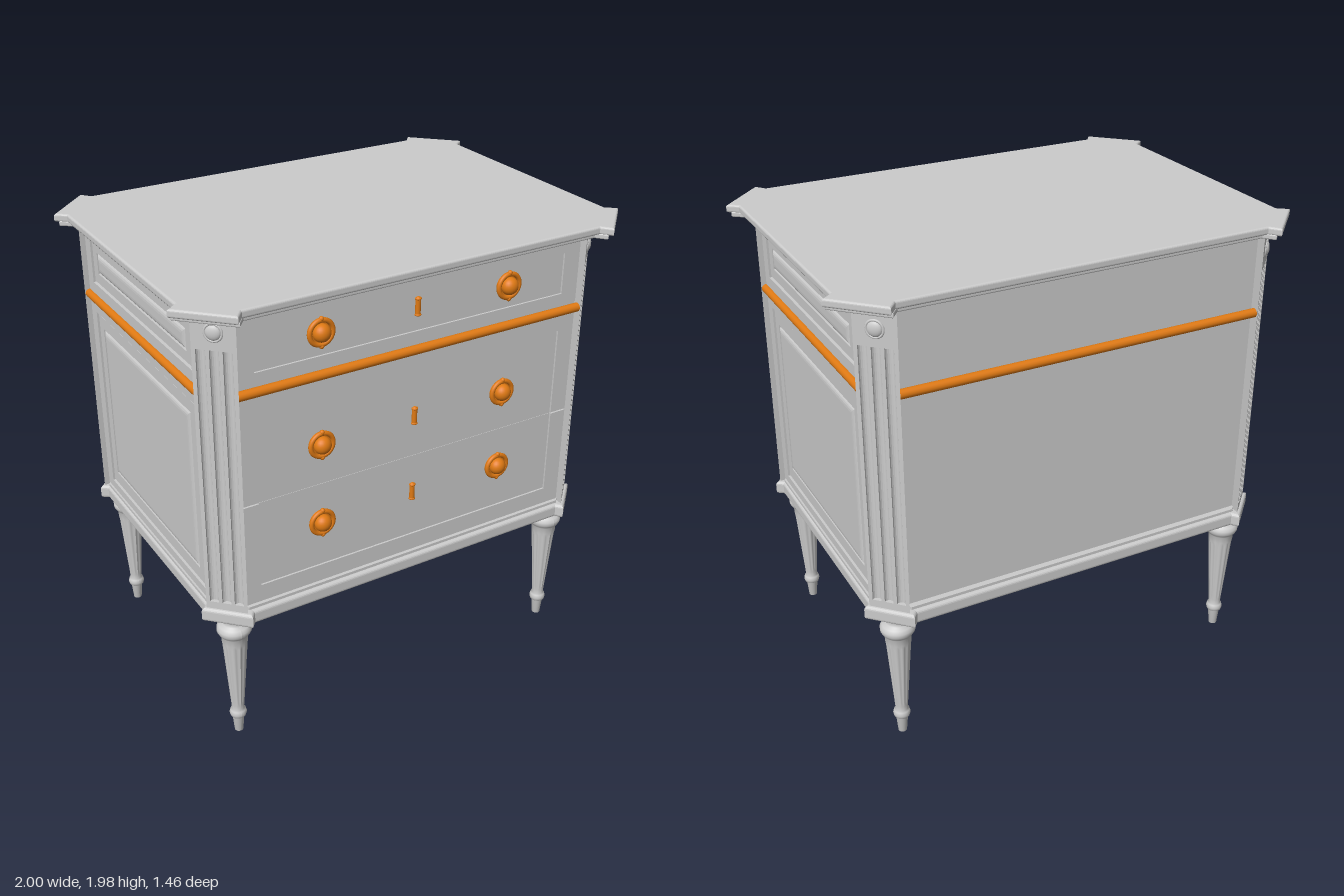
import * as THREE from 'three';

const grey = new THREE.MeshStandardMaterial({ color: 0xcccccc });
const brass = new THREE.MeshStandardMaterial({ color: 0xe07a14 });

function add(parent, name, geometry, material = grey, x = 0, y = 0, z = 0) {
  const mesh = new THREE.Mesh(geometry, material);
  mesh.name = name;
  mesh.position.set(x, y, z);
  parent.add(mesh);
  return mesh;
}

const group = (parent, name, x = 0, y = 0, z = 0, ry = 0) => {
  const g = new THREE.Group();
  g.name = name;
  g.position.set(x, y, z);
  g.rotation.y = ry;
  parent.add(g);
  return g;
};

// Rectangle with cut corners; "ear" lets the corners project past the straight edges
function outline(hx, hz, cut, ear = 0) {
  const quarter = [[hx - ear, hz - cut - ear * 0.8], [hx, hz - cut], [hx - cut, hz], [hx - cut - ear * 0.8, hz - ear]];
  const pts = [];
  [[1, 1], [-1, 1], [-1, -1], [1, -1]].forEach(([sx, sz], i) => {
    const q = ear ? quarter : quarter.slice(1, 3);
    (i % 2 ? [...q].reverse() : q).forEach(([x, z]) => pts.push(new THREE.Vector2(x * sx, z * sz)));
  });
  return new THREE.Shape(pts);
}

// Horizontal plate from y0 to y1 with a rounded rim
function plate(shape, y0, y1, bevel = 0) {
  const g = new THREE.ExtrudeGeometry(shape, {
    depth: y1 - y0 - 2 * bevel, bevelEnabled: bevel > 0, bevelThickness: bevel,
    bevelSize: bevel, bevelOffset: -bevel, bevelSegments: 4,
  });
  return g.rotateX(-Math.PI / 2).translate(0, y0 + bevel, 0);
}

function rect(w, y0, y1, Type = THREE.Shape) {
  return new Type([[-w, y0], [w, y0], [w, y1], [-w, y1]].map(p => new THREE.Vector2(...p)));
}

// Cross-section of a corner post, with three flutes along its diagonal face
function postShape(fluted) {
  const s = 0.06, pts = [[-s, -s], [s, -s]];
  if (fluted) {
    for (const c of [0.036, 0, -0.036]) {
      for (let i = 0; i <= 8; i++) {
        const a = (i / 8) * Math.PI, t = c + 0.013 * Math.cos(a), d = 0.012 * Math.sin(a);
        pts.push([t - d, -t - d]);
      }
    }
  }
  pts.push([-s, s]);
  return new THREE.Shape(pts.map(p => new THREE.Vector2(...p)));
}

function postPart(fluted, y0, y1) {
  const g = new THREE.ExtrudeGeometry(postShape(fluted), { depth: y1 - y0, bevelEnabled: false });
  return g.rotateX(Math.PI / 2).translate(0, y1, 0);
}

// Turned leg, shallow flutes on the taper
function legGeometry() {
  const profile = [
    [0, 0], [0.018, 0], [0.025, 0.075], [0.032, 0.08], [0.036, 0.095], [0.032, 0.11], [0.025, 0.115],
    [0.027, 0.14], [0.029, 0.16], [0.051, 0.45], [0.053, 0.47], [0.054, 0.5], [0.064, 0.512], [0.071, 0.525],
    [0.071, 0.54], [0.062, 0.553], [0.046, 0.56], [0.043, 0.575], [0.047, 0.59], [0.058, 0.597], [0.058, 0.62],
  ].map(p => new THREE.Vector2(...p));
  const g = new THREE.LatheGeometry(profile, 48);
  const p = g.attributes.position;
  for (let i = 0; i < p.count; i++) {
    const y = p.getY(i);
    if (y < 0.15 || y > 0.46) continue;
    const k = 1 - 0.045 * (1 - Math.cos(12 * Math.atan2(p.getZ(i), p.getX(i))));
    p.setXYZ(i, p.getX(i) * k, y, p.getZ(i) * k);
  }
  g.computeVertexNormals();
  return g;
}

function addKnob(parent, x, y, z) {
  const knob = group(parent, 'drawerKnob', x, y, z);
  add(knob, 'knobPlate', new THREE.CylinderGeometry(0.052, 0.055, 0.008, 32).rotateX(Math.PI / 2), brass, 0, 0, 0.003);
  add(knob, 'knobRing', new THREE.TorusGeometry(0.049, 0.01, 10, 36), brass, 0, 0, 0.01);
  add(knob, 'knobDome', new THREE.SphereGeometry(0.036, 24, 14).scale(1, 1, 0.9), brass, 0, 0, 0.015);
  for (const s of [-1, 1]) add(knob, 'knobBead', new THREE.SphereGeometry(0.01, 10, 8), brass, 0, s * 0.055, 0.012);
}

function addEscutcheon(parent, y, z) {
  const e = group(parent, 'keyholePlate', 0, y, z);
  add(e, 'keyholeBody', new THREE.CapsuleGeometry(0.011, 0.06, 6, 14), brass, 0, 0, 0.004);
  for (const s of [-1, 1]) add(e, 'keyholeCollar', new THREE.TorusGeometry(0.01, 0.004, 8, 16).rotateX(Math.PI / 2), brass, 0, s * 0.033, 0.004);
}

// Drawer front: recessed board framed by stiles and rails
function addDrawer(parent, y0, y1, panel0, panel1, knobY) {
  const d = group(parent, 'drawer');
  const box = (name, x, a, b, w, depth) =>
    add(d, name, new THREE.BoxGeometry(w, b - a, depth), grey, x, (a + b) / 2, 0.6 + depth / 2);
  box('drawerBoard', 0, y0, y1, 1.55, 0.012);
  for (const s of [-1, 1]) box('drawerStile', s * 0.738, y0, y1, 0.076, 0.02);
  if (panel0 > y0) box('bottomRail', 0, y0, panel0, 1.4, 0.02);
  if (panel1 < y1) box('topRail', 0, panel1, y1, 1.4, 0.02);
  for (const s of [-1, 1]) addKnob(d, s * 0.425, knobY, 0.612);
  addEscutcheon(d, knobY + 0.005, 0.612);
}

// Side panel: frame with opening, step and raised pillow field
function addSidePanel(parent, y0, y1, hole, field) {
  const frame = rect(0.53, y0, y1);
  frame.holes.push(rect(0.477, ...hole, THREE.Path));
  add(parent, 'sideFrame', new THREE.ExtrudeGeometry(frame, { depth: 0.018, bevelEnabled: false }), grey, 0, 0, 0.859);
  const step = rect(0.468, hole[0] + 0.009, hole[1] - 0.009);
  step.holes.push(rect(0.425, ...field, THREE.Path));
  add(parent, 'sideMoulding', new THREE.ExtrudeGeometry(step, { depth: 0.012, bevelEnabled: false }), grey, 0, 0, 0.859);
  add(parent, 'sideField', new THREE.ExtrudeGeometry(rect(0.42, field[0] + 0.005, field[1] - 0.005), {
    depth: 0.004, bevelThickness: 0.012, bevelSize: 0.025, bevelOffset: -0.025, bevelSegments: 4,
  }), grey, 0, 0, 0.859);
}

export function createModel() {
  const model = new THREE.Group();
  model.name = 'chestOfDrawers';

  // Top with eared corners, in two steps
  add(model, 'topSlab', plate(outline(1, 0.73, 0.18, 0.043), 1.945, 1.978, 0.009));
  add(model, 'topMoulding', plate(outline(0.985, 0.715, 0.178, 0.043), 1.928, 1.95, 0.006));

  const body = group(model, 'body', 0, 0, -0.027);
  add(body, 'carcass', plate(outline(0.86, 0.61, 0.08), 0.64, 1.94));
  add(body, 'base', plate(outline(0.922, 0.68, 0.15, 0.028), 0.606, 0.668, 0.014));
  add(body, 'baseLip', plate(outline(0.885, 0.635, 0.12), 0.65, 0.68));

  // Drawers
  addDrawer(body, 1.632, 1.93, 1.68, 1.855, 1.775);
  addDrawer(body, 1.134, 1.59, 1.134, 1.515, 1.307);
  addDrawer(body, 0.68, 1.128, 0.755, 1.128, 0.957);

  // Side panels
  for (const s of [-1, 1]) {
    const side = group(body, 'side', 0, 0, 0, s * Math.PI / 2);
    addSidePanel(side, 1.62, 1.93, [1.675, 1.874], [1.728, 1.82]);
    addSidePanel(side, 0.68, 1.6, [0.717, 1.54], [0.78, 1.48]);
    add(side, 'sideBand', new THREE.CylinderGeometry(0.019, 0.019, 1.065, 16).rotateZ(Math.PI / 2), brass, 0, 1.608, 0.879);
  }

  // Front and back brass bands
  for (const s of [-1, 1]) {
    add(body, s > 0 ? 'frontBand' : 'backBand',
      new THREE.CylinderGeometry(0.019, 0.019, 1.56, 16).rotateZ(Math.PI / 2), brass, 0, 1.608, s * 0.63);
  }

  // Corner posts with rosettes, and legs
  const leg = legGeometry();
  [[1, 1], [1, -1], [-1, -1], [-1, 1]].forEach(([sx, sz], k) => {
    const post = group(body, 'cornerPost', sx * 0.84, 0, sz * 0.592, k * Math.PI / 2);
    add(post, 'postFoot', postPart(false, 0.66, 0.7));
    add(post, 'flutedShaft', postPart(true, 0.7, 1.79));
    add(post, 'postHead', postPart(false, 1.79, 1.935));
    const rosette = group(post, 'rosette', 0, 1.86, 0, Math.PI / 4);
    add(rosette, 'rosetteDome', new THREE.SphereGeometry(0.03, 20, 12).scale(1, 1, 0.45));
    add(rosette, 'rosetteRing', new THREE.TorusGeometry(0.033, 0.005, 8, 28));
    add(body, 'leg', leg, grey, sx * 0.79, 0, sz * 0.54);
  });

  return model;
}
